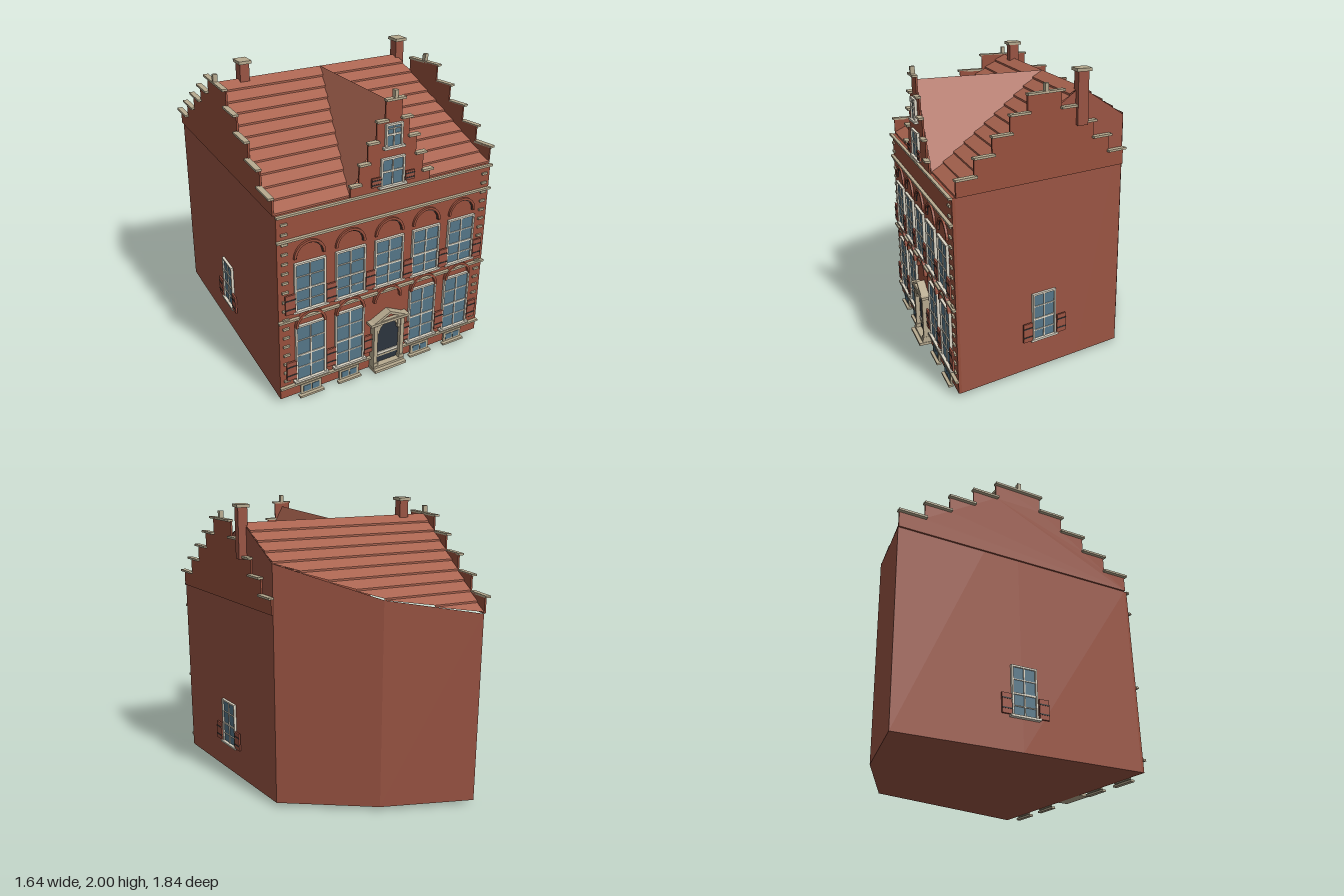
import * as THREE from 'three';

const mat = (color, side = THREE.FrontSide) =>
  new THREE.MeshStandardMaterial({ color, side, flatShading: true });
const brick = mat(0x9a5443), facadeBrick = mat(0x98503d), shutterRed = mat(0x9c5443);
const tile = mat(0xaa6450, THREE.DoubleSide);
const stone = mat(0xb8ab90), white = mat(0xdcd6c6), glass = mat(0x557688);
const dark = mat(0x2c343e), band = mat(0x3c3a3a);

function add(parent, name, geo, material, x = 0, y = 0, z = 0) {
  const m = new THREE.Mesh(geo, material);
  m.name = name;
  m.position.set(x, y, z);
  parent.add(m);
  return m;
}
// Box centred in x, standing on y, with its back at z
const box = (p, name, material, w, h, d, x, y, z) =>
  add(p, name, new THREE.BoxGeometry(w, h, d), material, x, y + h / 2, z + d / 2);

function group(parent, name, x = 0, y = 0, z = 0, ry = 0) {
  const g = new THREE.Group();
  g.name = name;
  g.position.set(x, y, z);
  g.rotation.y = ry;
  parent.add(g);
  return g;
}

// Corner points given as quads, turned into triangles
function quads(list) {
  const p = [];
  for (const [a, b, c, d] of list) p.push(...a, ...b, ...c, ...a, ...c, ...d);
  const g = new THREE.BufferGeometry();
  g.setAttribute('position', new THREE.Float32BufferAttribute(p, 3));
  g.computeVertexNormals();
  return g;
}

// Plan of the house: skewed sides and a bent back
const FRONT = 0.81, RIDGE_Z = -0.06, EAVES = 1.33, RIDGE = 1.88, BASE = 0.025;
const FL = [-0.785, FRONT], FR = [0.785, FRONT], BR = [0.54, -0.4], BM = [-0.07, -0.74], BL = [-0.7, -0.91];
const lerpX = (a, b, z) => a[0] + (b[0] - a[0]) * (z - a[1]) / (b[1] - a[1]);
const leftX = z => lerpX(FL, BL, z);
const rightX = z => z >= BR[1] ? lerpX(FR, BR, z) : z >= BM[1] ? lerpX(BR, BM, z) : lerpX(BM, BL, z);
const roofY = z => RIDGE - (RIDGE - EAVES) * (z > RIDGE_Z
  ? (z - RIDGE_Z) / (FRONT - RIDGE_Z) : (RIDGE_Z - z) / (RIDGE_Z - BL[1]));

function buildBody(root) {
  const plan = [FL, FR, [rightX(RIDGE_Z), RIDGE_Z], BR, BM, BL, [leftX(RIDGE_Z), RIDGE_Z]];
  const faces = plan.map((a, i) => {
    const b = plan[(i + 1) % plan.length];
    return [[a[0], BASE, a[1]], [b[0], BASE, b[1]], [b[0], roofY(b[1]), b[1]], [a[0], roofY(a[1]), a[1]]];
  });
  const under = i => [plan[i][0], BASE, plan[i][1]];
  for (let i = 1; i < plan.length - 1; i++) faces.push([under(0), under(i + 1), under(i), under(i)]);
  add(root, 'walls', quads(faces), brick);
}

function buildRoof(root) {
  // Overlapping tile rows, each lifted at its lower edge
  const faces = [], lift = 0.012;
  for (const [end, rows] of [[FRONT, 11], [BL[1], 10]]) {
    for (let i = 0; i < rows; i++) {
      const z0 = RIDGE_Z + (end - RIDGE_Z) * i / rows;
      const z1 = RIDGE_Z + (end - RIDGE_Z) * (i + 1) / rows;
      const row = [[leftX(z1), roofY(z1) + lift, z1], [rightX(z1), roofY(z1) + lift, z1],
        [rightX(z0), roofY(z0), z0], [leftX(z0), roofY(z0), z0]];
      const riser = [[leftX(z1), roofY(z1), z1], [rightX(z1), roofY(z1), z1], row[1], row[0]];
      if (end < 0) { row.reverse(); riser.reverse(); }
      faces.push(row, riser);
    }
  }
  add(root, 'tiledRoof', quads(faces), tile);
  // Cross roof running to the front gable
  const apex = [0, RIDGE, RIDGE_Z], top = [0, RIDGE, 0.815];
  const l = [-0.29, EAVES, 0.815], r = [0.29, EAVES, 0.815];
  add(root, 'crossRoof', quads([[apex, l, top, top], [apex, top, r, r]]), tile);
  // Chimneys on the ridge
  for (const x of [-0.565, 0.622]) {
    const g = group(root, 'chimney', x, 0, RIDGE_Z);
    box(g, 'chimneyStack', brick, 0.064, 0.34, 0.07, 0, 1.645, -0.035);
    box(g, 'chimneyCap', stone, 0.085, 0.02, 0.1, 0, 1.98, -0.05);
  }
}

// Stepped gable: ten step widths, five levels, capped with stone
function stepGable(parent, length, topY, rise) {
  const g = group(parent, 'stepGable'), s = length / 10, h = length / 2;
  const pts = [[-h, EAVES]];
  for (let i = 0; i < 5; i++) {
    const y = topY - (4 - i) * rise, x = h - i * s;
    pts.push([-x, y], [i < 4 ? -x + s : x, y]);
  }
  for (let i = 3; i >= 0; i--) {
    const y = topY - (4 - i) * rise, x = h - i * s;
    pts.push([x - s, y], [x, y]);
  }
  pts.push([h, EAVES]);
  const shape = new THREE.Shape(pts.map(p => new THREE.Vector2(...p)));
  add(g, 'gableWall', new THREE.ExtrudeGeometry(shape, { depth: 0.012, bevelEnabled: false }), facadeBrick);
  for (let i = 0; i < 4; i++)
    for (const side of [-1, 1])
      box(g, 'stepCap', stone, s + 0.02, 0.014, 0.036, side * (h - (i + 0.5) * s), topY - (4 - i) * rise - 0.007, 0);
  box(g, 'topCap', stone, 2 * s + 0.02, 0.014, 0.036, 0, topY - 0.007, 0);
  box(g, 'finial', stone, 0.024, 0.055, 0.03, 0, topY, 0.003);
}

// Paned window standing on its sill; rows are heights of the glazing bars
function window_(parent, x, y, w, h, rows, z = 0) {
  const g = group(parent, 'window', x, y, z), f = 0.012;
  box(g, 'glass', glass, w - f, h - f, 0.008, 0, f / 2, 0);
  for (const s of [-1, 1]) box(g, 'frameSide', white, f, h, 0.018, s * (w - f) / 2, 0, 0);
  box(g, 'frameHead', white, w, f, 0.018, 0, h - f, 0);
  box(g, 'sill', white, w + 0.03, 0.014, 0.028, 0, -0.007, 0);
  box(g, 'mullion', white, 0.009, h, 0.014, 0, 0, 0);
  rows.forEach((r, i) => box(g, 'glazingBar', white, w, i ? 0.006 : 0.012, 0.014, 0, r, 0));
}

function shutter(parent, x, y, w, h, z = 0) {
  const g = group(parent, 'shutter', x, y, z);
  box(g, 'shutterPanel', shutterRed, w, h, 0.012, 0, 0, 0.012);
  for (const t of [0.26, 0.74]) box(g, 'shutterBand', band, w + 0.002, 0.008, 0.004, 0, h * t - 0.004, 0.023);
}

// Half-round brick arch over a window
function arch(parent, x, y, r, width, material, z, depth) {
  const s = new THREE.Shape();
  s.absarc(0, 0, r, 0, Math.PI, false);
  s.absarc(0, 0, r - width, Math.PI, 0, true);
  add(parent, 'arch', new THREE.ExtrudeGeometry(s, { depth, bevelEnabled: false, curveSegments: 14 }), material, x, y, z);
}

function buildDoor(f) {
  const g = group(f, 'doorway');
  box(g, 'doorPanel', dark, 0.19, 0.34, 0.02, 0, 0.055, 0);
  box(g, 'doorRail', white, 0.18, 0.018, 0.026, 0, 0.125, 0);
  for (const s of [-1, 1]) {
    box(g, 'doorPost', stone, 0.028, 0.32, 0.05, s * 0.104, 0.055, 0);
    box(g, 'postBase', stone, 0.036, 0.03, 0.056, s * 0.102, 0.055, 0);
    box(g, 'bracket', stone, 0.02, 0.04, 0.045, s * 0.08, 0.335, 0);
  }
  arch(g, 0, 0.305, 0.092, 0.018, stone, 0, 0.04);
  box(g, 'lintel', stone, 0.3, 0.018, 0.06, 0, 0.385, 0);
  const tri = new THREE.Shape([[-0.13, 0.4], [0.13, 0.4], [0, 0.465]].map(p => new THREE.Vector2(...p)));
  tri.holes.push(new THREE.Path([[-0.075, 0.408], [0, 0.445], [0.075, 0.408]].map(p => new THREE.Vector2(...p))));
  add(g, 'pediment', new THREE.ExtrudeGeometry(tri, { depth: 0.055, bevelEnabled: false }), stone);
  box(g, 'pedimentPanel', facadeBrick, 0.15, 0.025, 0.03, 0, 0.4, 0);
  box(g, 'upperStep', stone, 0.24, 0.016, 0.06, 0, 0.044, 0);
  box(g, 'lowerStep', stone, 0.25, 0.018, 0.085, 0, 0.026, 0);
}

function buildFacade(root) {
  box(root, 'facadeWall', facadeBrick, 1.57, EAVES - BASE, 0.02, 0, BASE, FRONT);
  const f = group(root, 'facade', 0, 0, 0.83);
  for (const y of [1.32, 1.155, 0.6, 0.103]) box(f, 'stringCourse', stone, 1.58, 0.014, 0.022, 0, y, 0);
  for (let i = 0; i < 18; i++)
    for (const s of [-1, 1]) box(f, 'quoin', stone, 0.042, 0.015, 0.012, s * 0.738, 0.15 + i * 0.0655, 0);
  // Five bays of tall windows with arches, the door in the middle
  for (let i = -2; i <= 2; i++) {
    const x = i * 0.285;
    window_(f, x, 0.66, 0.215, 0.335, [0.14, 0.235, 0.065]);
    arch(f, x, 1.025, 0.108, 0.016, facadeBrick, 0, 0.014);
    arch(f, x, 1.025, 0.09, 0.004, band, 0, 0.006);
    arch(f, x, 0.54, 0.108, 0.016, facadeBrick, 0, 0.024);
    if (i === 0) continue;
    window_(f, x, 0.135, 0.215, 0.415, [0.185, 0.3, 0.095]);
    // Cellar window
    const c = group(f, 'cellarWindow', x, 0.018);
    box(c, 'cellarFrame', stone, 0.15, 0.072, 0.012, 0, 0, 0);
    for (const s of [-1, 1]) box(c, 'cellarPane', glass, 0.052, 0.044, 0.004, s * 0.031, 0.014, 0.011);
    box(c, 'cellarSill', stone, 0.175, 0.014, 0.03, 0, -0.018, 0);
  }
  for (let i = -2.5; i <= 2.5; i++) {
    shutter(f, i * 0.285, 0.66, 0.068, 0.135);
    shutter(f, i * 0.285, 0.168, 0.068, 0.135);
  }
  buildDoor(f);
  // Front gable with its two windows
  const gable = group(f, 'frontGable', 0, 0, -0.01);
  stepGable(gable, 0.58, 1.91, 0.125);
  window_(gable, 0, 1.36, 0.17, 0.185, [0.09], 0.012);
  window_(gable, 0, 1.61, 0.12, 0.15, [0.075, 0.115], 0.012);
  for (const s of [-1, 1]) shutter(gable, s * 0.122, 1.375, 0.065, 0.06, 0.012);
}

// Side wall: stepped gable plus a shuttered window at its middle
function buildSide(root, name, a, b) {
  const dx = b[0] - a[0], dz = b[1] - a[1];
  const g = group(root, name, (a[0] + b[0]) / 2, 0, (a[1] + b[1]) / 2, Math.atan2(-dz, dx));
  stepGable(g, Math.hypot(dx, dz), RIDGE, 0.11);
  window_(g, 0, 0.24, 0.18, 0.33, [0.14, 0.235, 0.065]);
  for (const s of [-1, 1]) shutter(g, s * 0.131, 0.245, 0.068, 0.13);
}

export function createModel() {
  const root = new THREE.Group();
  root.name = 'townHouse';
  buildBody(root);
  buildRoof(root);
  buildFacade(root);
  buildSide(root, 'leftSide', FR, BR);
  buildSide(root, 'rightSide', BL, FL);
  return root;
}
